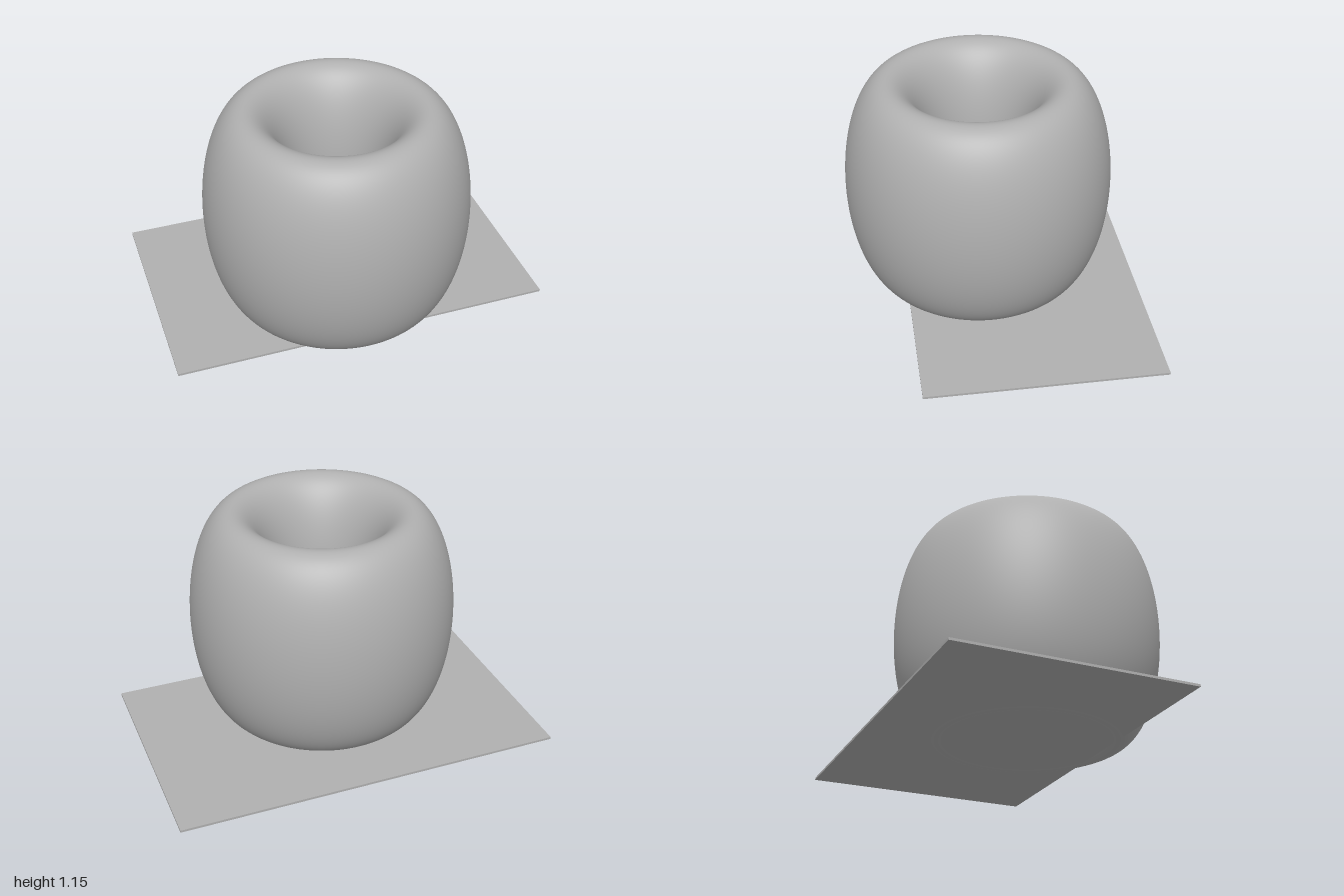
import * as THREE from 'three';

export function createModel() {
  const model = new THREE.Group();
  const grey = new THREE.MeshStandardMaterial({ color: 0xb0b0b0 });
  grey.name = 'plain grey';

  // Tall ring: a torus laid flat and stretched upwards
  const outer = 0.69, inner = 0.225, height = 1.148;
  const tube = (outer - inner) / 2;
  const ringGeometry = new THREE.TorusGeometry((outer + inner) / 2, tube, 96, 160);
  ringGeometry.rotateX(-Math.PI / 2);
  ringGeometry.scale(1, height / (2 * tube), 1);
  const ring = new THREE.Mesh(ringGeometry, grey);
  ring.name = 'tallRing';
  ring.position.set(-0.028, height / 2, 0.056);
  model.add(ring);

  // Thin rectangular base plate, set back under the ring
  const plate = new THREE.Mesh(new THREE.BoxGeometry(2, 0.012, 1.21), grey);
  plate.name = 'basePlate';
  plate.position.set(0, 0.009, -0.144);
  model.add(plate);

  return model;
}
